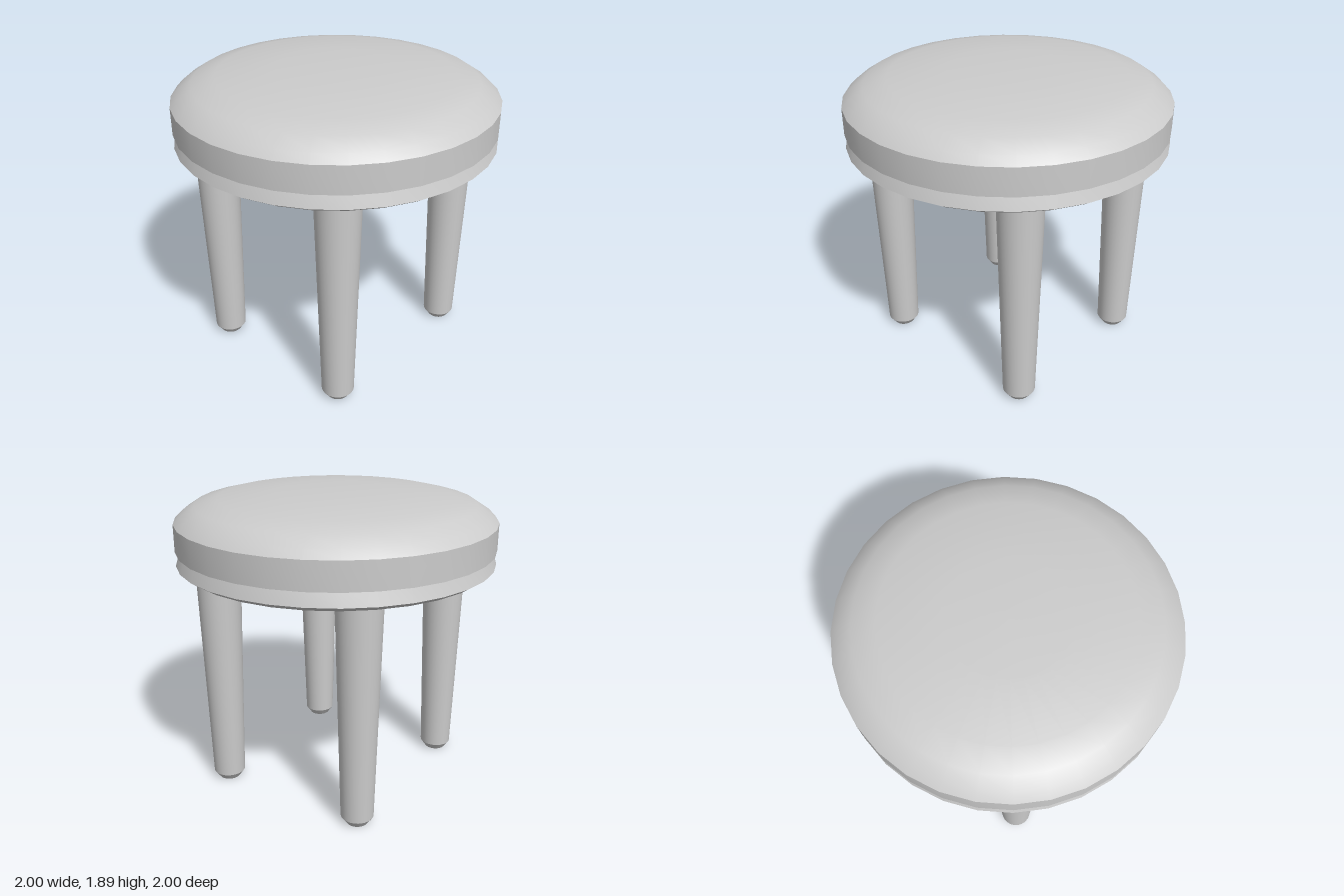
import * as THREE from 'three';
import { toCreasedNormals } from 'three/addons/utils/BufferGeometryUtils.js';

const material = new THREE.MeshStandardMaterial({ color: 0xcccccc });

// Closed turned solid from [radius, height] points, listed bottom to top
function turned(name, profile, sides) {
  const points = profile.map(([r, y]) => new THREE.Vector2(r, y));
  const geometry = new THREE.LatheGeometry(points, sides);
  const mesh = new THREE.Mesh(toCreasedNormals(geometry, Math.PI / 6), material);
  mesh.name = name;
  return mesh;
}

export function createModel() {
  const stool = new THREE.Group();
  stool.name = 'stool';

  // Seat board: chamfered underside, narrowing towards the cushion
  stool.add(turned('seatBase', [
    [0, 1.445], [0.955, 1.445], [1, 1.475], [0.972, 1.56], [0, 1.56],
  ], 32));

  // Padded cushion: straight band with a shallow dome
  stool.add(turned('cushion', [
    [0, 1.56], [1, 1.56], [1, 1.73], [0.955, 1.775], [0.87, 1.83],
    [0.73, 1.865], [0.37, 1.893], [0, 1.895],
  ], 32));

  // Four tapered legs with chamfered feet
  for (const [side, x] of [['Right', -0.503], ['Left', 0.503]]) {
    for (const [end, z] of [['front', 0.555], ['back', -0.555]]) {
      const leg = turned(`${end}${side}Leg`, [
        [0, 0], [0.068, 0], [0.102, 0.047], [0.139, 1.45], [0, 1.45],
      ], 32);
      leg.position.set(x, 0, z);
      stool.add(leg);
    }
  }
  return stool;
}
